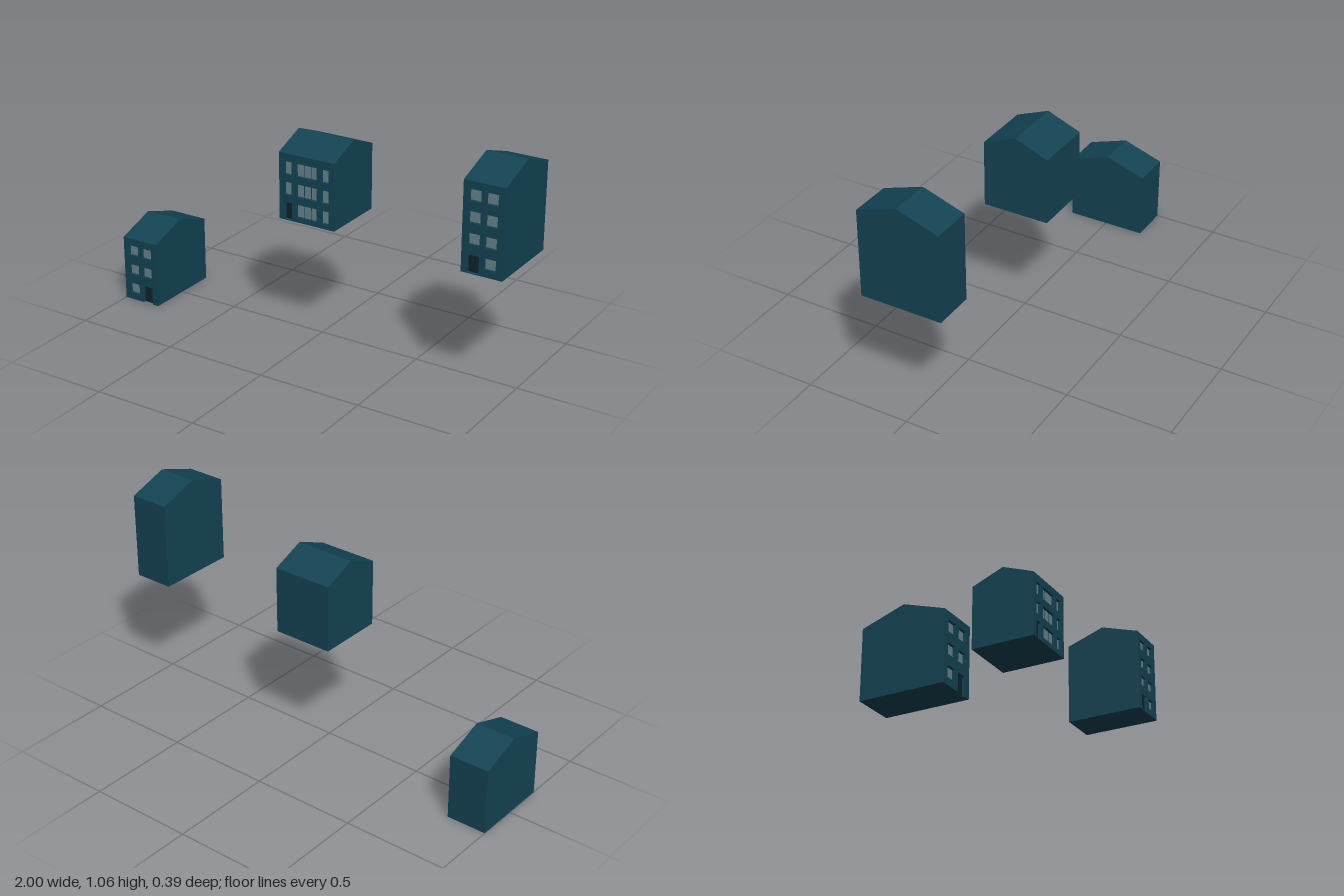
import * as THREE from 'three';

const wallMat = new THREE.MeshStandardMaterial({ color: 0x134353, flatShading: true });
const glassMat = new THREE.MeshStandardMaterial({ color: 0x64828b });
const doorMat = new THREE.MeshStandardMaterial({ color: 0x0b232b });
const RECESS = 0.014;

function polygon(points) {
  return new THREE.Shape(points.map(([x, y]) => new THREE.Vector2(x, y)));
}

function rect([x0, x1, y0, y1]) {
  return [[x0, y0], [x1, y0], [x1, y1], [x0, y1]];
}

function add(group, name, geometry, material) {
  const mesh = new THREE.Mesh(geometry, material);
  mesh.name = name;
  group.add(mesh);
  return mesh;
}

// Flat panel lying at the back of a facade opening
function panel(group, name, [x0, x1, y0, y1], z, material) {
  const mesh = add(group, name, new THREE.PlaneGeometry(x1 - x0, y1 - y0), material);
  mesh.position.set((x0 + x1) / 2, (y0 + y1) / 2, z);
}

// rows: [bottom, top] per storey; columns: [left, right, panes]; the door replaces
// the ground-floor window of its column
function house({ name, x, base, eaves, ridge, z, columns, rows, doorColumn, sill }) {
  const group = new THREE.Group();
  group.name = name;
  const [x0, x1] = x;
  const [back, front] = z;
  const inner = front - RECESS;

  // Gabled body: side profile swept along x, with the roof reaching over the facade
  const profile = polygon([
    [-inner, base], [-back, base], [-back, eaves],
    [-(back + front) / 2, ridge], [-front, eaves], [-inner, eaves],
  ]);
  const body = new THREE.ExtrudeGeometry(profile, { depth: x1 - x0, bevelEnabled: false });
  body.rotateY(Math.PI / 2);
  body.translate(x0, 0, 0);
  add(group, 'gabledBody', body, wallMat);

  // Openings
  const windows = [];
  let door;
  rows.forEach(([y0, y1], r) => columns.forEach(([a, b, panes = 1], c) => {
    if (r === 0 && c === doorColumn) door = [a, b, base + sill, y1];
    else windows.push({ box: [a, b, y0, y1], panes });
  }));

  // Facade slab with holes; a door without a sill cuts through its lower edge
  const [d0, d1, dy0, dy1] = door;
  const notch = sill ? [] : [[d0, base], [d0, dy1], [d1, dy1], [d1, base]];
  const wall = polygon([[x0, base], ...notch, [x1, base], [x1, eaves], [x0, eaves]]);
  const holes = windows.map((w) => w.box);
  if (sill) holes.push(door);
  wall.holes = holes.map((h) => new THREE.Path(rect(h).map(([u, v]) => new THREE.Vector2(u, v))));
  const facade = new THREE.ExtrudeGeometry(wall, { depth: RECESS, bevelEnabled: false });
  facade.translate(0, 0, inner);
  add(group, 'facade', facade, wallMat);

  // Window panes and door
  const gap = 0.003;
  for (const { box: [a, b, y0, y1], panes } of windows) {
    const w = (b - a - gap * (panes - 1)) / panes;
    for (let i = 0; i < panes; i++) {
      const left = a + i * (w + gap);
      panel(group, 'windowPane', [left, left + w, y0, y1], inner + 0.001, glassMat);
    }
  }
  panel(group, 'door', [d0, d1, dy0, dy1], inner + 0.001, doorMat);
  return group;
}

// Evenly spaced storeys
function storeys(first, height, pitch, count) {
  return Array.from({ length: count }, (_, i) => [first + i * pitch, first + i * pitch + height]);
}

export function createModel() {
  const model = new THREE.Group();
  model.name = 'townHouses';
  model.add(
    house({
      name: 'lowHouse', x: [-1, -0.808], base: 0, eaves: 0.317, ridge: 0.382, z: [-0.193, 0.193],
      columns: [[-0.97, -0.916], [-0.893, -0.839]],
      rows: storeys(0.034, 0.051, 0.098, 3), doorColumn: 1, sill: 0,
    }),
    house({
      name: 'wideHouse', x: [-0.146, 0.142], base: 0.583, eaves: 0.9, ridge: 0.963, z: [-0.193, 0.125],
      columns: [[-0.118, -0.08], [-0.056, 0.051, 3], [0.075, 0.113]],
      rows: storeys(0.607, 0.061, 0.097, 3), doorColumn: 0, sill: 0.004,
    }),
    house({
      name: 'tallHouse', x: [0.807, 1], base: 0.583, eaves: 0.995, ridge: 1.06, z: [-0.193, 0.193],
      columns: [[0.836, 0.89], [0.914, 0.968]],
      rows: storeys(0.617, 0.051, 0.097, 4), doorColumn: 0, sill: 0.004,
    }),
  );
  return model;
}
